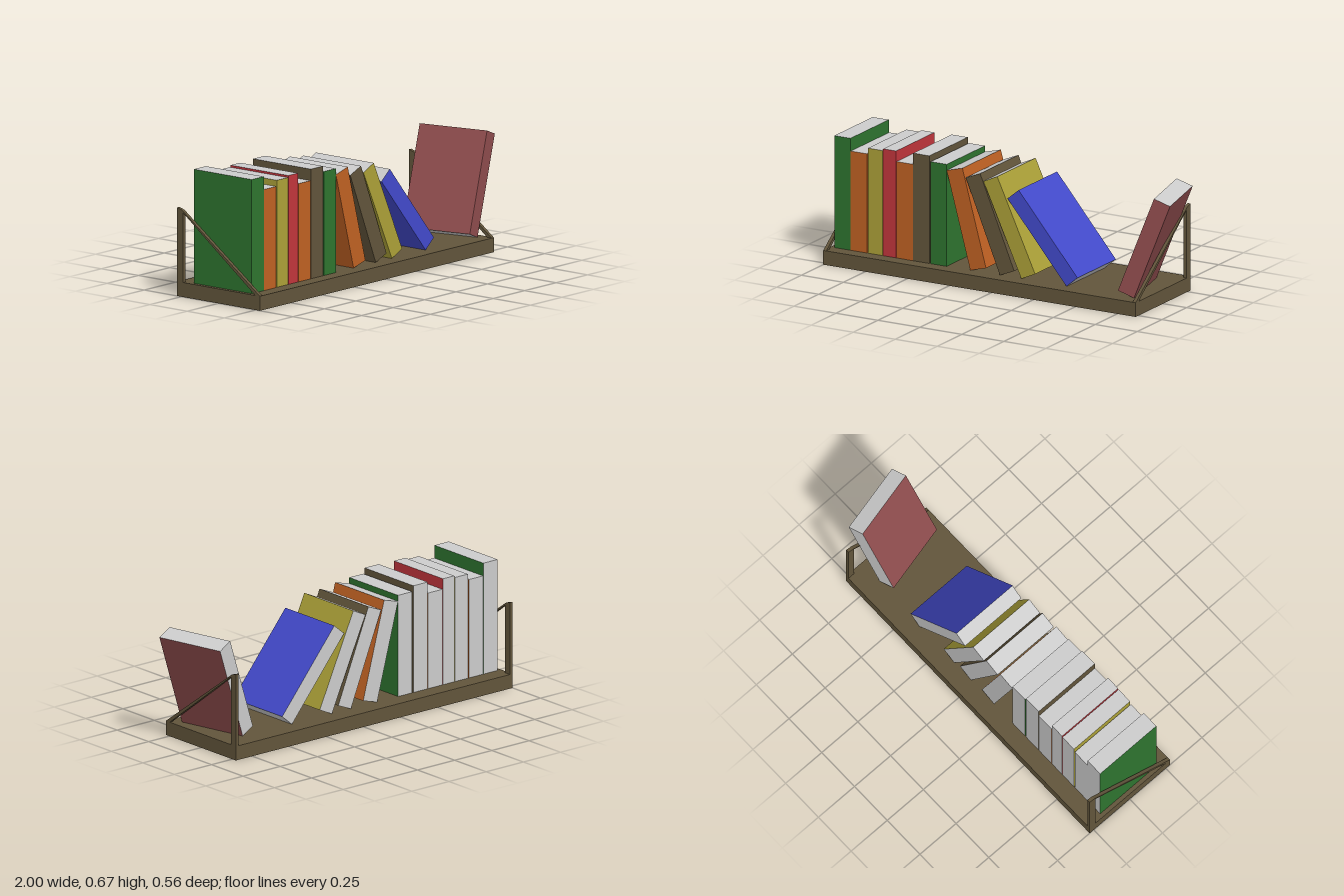
import * as THREE from 'three';

const mat = (name, color) => {
  const m = new THREE.MeshStandardMaterial({ color });
  m.name = name;
  return m;
};

export function createModel() {
  const group = new THREE.Group();
  const brown = mat('brown', 0x62553b);
  const green = mat('green', 0x2e742f);
  const orange = mat('orange', 0xbf6123);
  const yellow = mat('yellow', 0xaca138);
  const red = mat('red', 0xc2353c);
  const blue = mat('blue', 0x434acc);
  const maroon = mat('maroon', 0x904d4e);
  const paper = mat('paper', 0xcccccc);

  const top = 0.076; // upper face of the board

  // Board
  const board = new THREE.Mesh(new THREE.BoxGeometry(1.86, top, 0.556), brown);
  board.name = 'board';
  board.position.set(-0.07, top / 2, 0);
  group.add(board);

  // End brackets: rear post joined to a thin diagonal brace, profile in (z, y)
  const profile = new THREE.Shape([
    [0.278, top], [0.247, top], [-0.238, 0.441], [-0.238, top],
    [-0.278, top], [-0.278, 0.465], [-0.245, 0.455],
  ].map(([z, y]) => new THREE.Vector2(z, y)));
  const depth = 0.018;
  const bracketGeo = new THREE.ExtrudeGeometry(profile, { depth, bevelEnabled: false });
  bracketGeo.rotateY(-Math.PI / 2);
  for (const [name, x] of [['rightBracket', -1 + depth], ['leftBracket', 0.86]]) {
    const bracket = new THREE.Mesh(bracketGeo, brown);
    bracket.name = name;
    bracket.position.x = x;
    group.add(bracket);
  }

  // A book has coloured covers and spine, with paper on top, bottom and back.
  // It pivots on its lower edge: side = 1 puts the book to +x of the pivot, -1 to -x.
  function addBook(name, cover, x, w, h, lean = 0, side = 1, yaw = 0, z = 0.0095) {
    const geo = new THREE.BoxGeometry(w, h, 0.389);
    geo.translate(side * w / 2, h / 2, 0);
    const book = new THREE.Mesh(geo, [cover, cover, paper, paper, cover, paper]);
    book.name = name;
    book.position.set(x, top, z);
    book.rotation.set(0, THREE.MathUtils.degToRad(yaw), THREE.MathUtils.degToRad(lean), 'YXZ');
    group.add(book);
  }

  // Upright books: cover, left edge, right edge, top height
  [
    [green, -0.978, -0.882, 0.675],
    [orange, -0.88, -0.784, 0.607],
    [yellow, -0.778, -0.69, 0.638],
    [red, -0.687, -0.61, 0.648],
    [orange, -0.607, -0.51, 0.592],
    [brown, -0.508, -0.412, 0.652],
    [green, -0.404, -0.309, 0.622],
  ].forEach(([c, x0, x1, y], i) => addBook('uprightBook' + (i + 1), c, x0, x1 - x0, y - top));

  // Books leaning on the row: cover, pivot, thickness, height, angle
  [
    [orange, -0.168, 0.097, 0.533, 15.3],
    [brown, 0.008, 0.092, 0.532, 22.4],
    [yellow, 0.136, 0.09, 0.538, 24.8],
    [blue, 0.404, 0.086, 0.545, 40],
  ].forEach(([c, x, w, h, a], i) => addBook('leaningBook' + (i + 1), c, x, w, h, a));

  // Single book tipped outwards over the far end
  addBook('tippedBook', maroon, 0.766, 0.0925, 0.543, -20.9, -1, 13, 0.02);

  return group;
}
